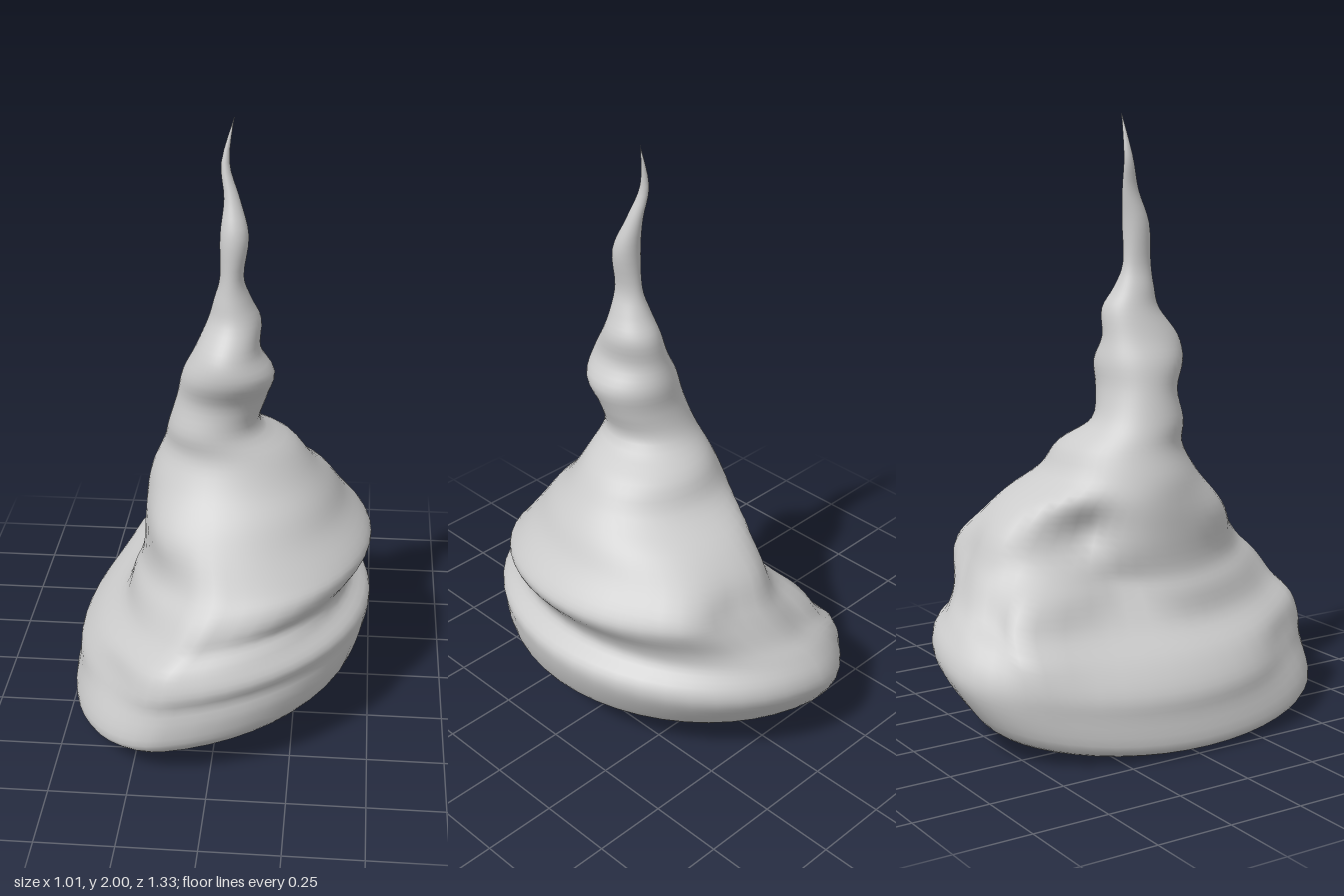
import * as THREE from 'three';

// Cross-sections: height, left x, right x, back z, front z
const SECTIONS = [
  [0.08, -0.45, 0.41, -0.54, 0.63],
  [0.12, -0.51, 0.45, -0.59, 0.66],
  [0.22, -0.50, 0.49, -0.66, 0.66],
  [0.29, -0.49, 0.49, -0.66, 0.66],
  [0.36, -0.43, 0.43, -0.62, 0.63],
  [0.42, -0.34, 0.44, -0.57, 0.58],
  [0.50, -0.31, 0.49, -0.53, 0.53],
  [0.56, -0.28, 0.48, -0.50, 0.48],
  [0.66, -0.27, 0.41, -0.45, 0.42],
  [0.75, -0.26, 0.36, -0.36, 0.36],
  [0.83, -0.24, 0.30, -0.23, 0.29],
  [0.92, -0.20, 0.23, -0.17, 0.24],
  [1.00, -0.18, 0.12, -0.08, 0.23],
  [1.10, -0.15, 0.14, -0.045, 0.22],
  [1.19, -0.13, 0.165, -0.04, 0.26],
  [1.27, -0.09, 0.12, -0.02, 0.25],
  [1.36, -0.05, 0.12, -0.01, 0.19],
  [1.43, -0.03, 0.09, 0.03, 0.17],
  [1.51, -0.01, 0.065, 0.06, 0.16],
  [1.64, -0.01, 0.08, 0.065, 0.155],
  [1.75, 0.00, 0.05, 0.055, 0.11],
  [1.86, -0.01, 0.016, 0.045, 0.075],
  [2.00, 0.03, 0.03, 0.05, 0.05],
];

// Local bulges (+) and hollows (-): angle, angular spread, height, height spread, amount
const FOLDS = [
  [-2.50, 0.38, 0.67, 0.10, -0.34], // deep hollow at the back left
  [-2.85, 0.28, 0.51, 0.09, -0.20], // its lower end, behind the ridge
  [-2.30, 0.20, 0.44, 0.11, 0.18],  // ridge beside the hollow
  [2.30, 0.35, 0.70, 0.08, 0.08],   // shoulder of the front curtain
  [2.30, 0.35, 0.30, 0.08, -0.08],  // front left flank
  [1.80, 0.20, 0.48, 0.16, 0.05],   // front curtain
  [0.95, 0.60, 0.41, 0.03, -0.035], // upper draped groove
  [1.10, 0.60, 0.24, 0.03, -0.02],  // lower draped groove
  [-0.95, 0.22, 0.58, 0.08, 0.05],  // lump at the back
  [-1.35, 0.18, 0.55, 0.12, -0.05], // crease beside the lump
];

const SIDES = 48;

// Smooth blend between neighbouring sections
function sectionAt(t) {
  const last = SECTIONS.length - 1;
  const i = Math.min(Math.floor(t), last - 1), f = t - i;
  const at = k => SECTIONS[THREE.MathUtils.clamp(k, 0, last)];
  const [a, b, c, d] = [at(i - 1), at(i), at(i + 1), at(i + 2)];
  return b.map((v, k) => v + 0.5 * f * (c[k] - a[k]
    + f * (2 * a[k] - 5 * v + 4 * c[k] - d[k]
    + f * (3 * (v - c[k]) + d[k] - a[k]))));
}

function ring(t) {
  const [y, left, right, back, front] = sectionAt(t);
  // The widest points sit left of the middle near the ground
  const cx = (left + right) / 2 - 0.14 * Math.max(0, 1 - y / 0.9);
  const cz = (back + front) / 2;
  // Lower sections lean up towards +x and curl up at front and back
  const lean = 1 - THREE.MathUtils.smoothstep(y, 0.2, 0.95);
  return Array.from({ length: SIDES }, (_, j) => {
    const a = (j / SIDES) * Math.PI * 2;
    const c = Math.cos(a), s = Math.sin(a);
    let r = 1;
    for (const [angle, spread, h, hSpread, amount] of FOLDS) {
      const da = Math.atan2(Math.sin(a - angle), Math.cos(a - angle)) / spread;
      const dh = (y - h) / hSpread;
      r += amount * Math.exp(-da * da - dh * dh);
    }
    const x = cx + r * c * (c > 0 ? right - cx : cx - left);
    const z = cz + r * s * (s > 0 ? front - cz : cz - back);
    return new THREE.Vector3(x, y + lean * (0.17 * x + 0.08 * z * z), z);
  });
}

// Skin a list of rings
function loft(rings) {
  const index = [];
  for (let i = 0; i < rings.length - 1; i++) {
    for (let j = 0; j < SIDES; j++) {
      const k = (j + 1) % SIDES;
      const a = i * SIDES + j, b = i * SIDES + k;
      index.push(a, a + SIDES, b + SIDES, a, b + SIDES, b);
    }
  }
  const geometry = new THREE.BufferGeometry().setFromPoints(rings.flat());
  geometry.setIndex(index);
  geometry.computeVertexNormals();
  return geometry;
}

export function createModel() {
  const group = new THREE.Group();
  group.name = 'drapedSpire';
  const material = new THREE.MeshStandardMaterial({ color: 0xcccccc });
  const add = (name, geometry) => {
    const mesh = new THREE.Mesh(geometry, material);
    mesh.name = name;
    group.add(mesh);
  };

  // Folded mound drawn up into a thin, wavering tip
  const steps = (SECTIONS.length - 1) * 4;
  add('foldedBody', loft(Array.from({ length: steps + 1 }, (_, i) => ring(i / 4))));

  // Tilted, slightly bulging underside
  const rim = ring(0);
  const centre = new THREE.Vector3(-0.05, 0.072, 0.03);
  add('underside', loft([0.001, 0.35, 0.7, 0.9, 1].map(s => rim.map(p => {
    const q = centre.clone().lerp(p, s);
    q.y -= 0.035 * (1 - s * s);
    return q;
  }))));
  return group;
}
